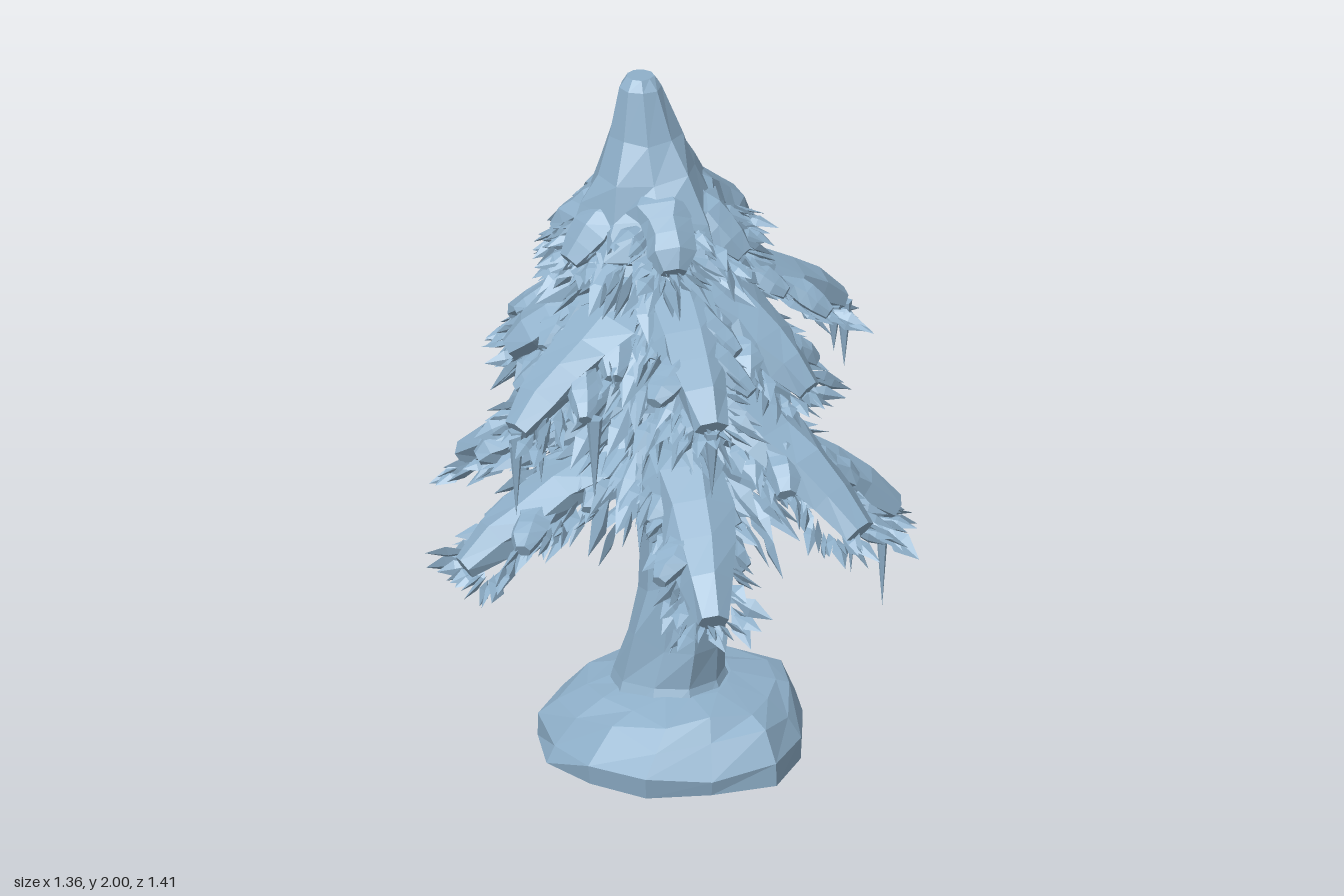
import * as THREE from 'three';
import { mergeGeometries } from 'three/addons/utils/BufferGeometryUtils.js';

const V = (x, y, z) => new THREE.Vector3(x, y, z);
const UP = V(0, 1, 0);

export function createModel() {
  const group = new THREE.Group();
  const frost = new THREE.MeshStandardMaterial({ color: 0x8fb0ca, flatShading: true });
  frost.name = 'frosty blue';

  // small seeded random
  let seed = 12345;
  const rnd = (a = 0, b = 1) => {
    seed = (seed * 1664525 + 1013904223) % 4294967296;
    return a + (b - a) * seed / 4294967296;
  };

  const add = (name, geos) => {
    const mesh = new THREE.Mesh(mergeGeometries(geos), frost);
    mesh.name = name;
    group.add(mesh);
  };

  // closed skin over a list of equal rings
  function loft(rings) {
    const n = rings[0].length, pos = [], idx = [];
    rings.forEach(r => r.forEach(p => pos.push(p.x, p.y, p.z)));
    const centre = r => {
      const c = r.reduce((s, p) => s.add(p), V(0, 0, 0)).divideScalar(n);
      pos.push(c.x, c.y, c.z);
    };
    centre(rings[0]);
    centre(rings[rings.length - 1]);
    const c0 = rings.length * n, last = c0 - n;
    for (let j = 0; j < n; j++) {
      const k = (j + 1) % n;
      for (let i = 0; i < rings.length - 1; i++) {
        const a = i * n + j, b = i * n + k;
        idx.push(a, b, b + n, a, b + n, a + n);
      }
      idx.push(c0, k, j, c0 + 1, last + j, last + k);
    }
    const g = new THREE.BufferGeometry();
    g.setAttribute('position', new THREE.Float32BufferAttribute(pos, 3));
    g.setIndex(idx);
    g.computeVertexNormals();
    return g.toNonIndexed();
  }

  // upright irregular stack; each level is [y, radius, centre x, centre z, height jitter]
  const stack = (levels, n, rough, shape = () => 1) => loft(levels.map(([y, r, cx, cz, bump = 0], i) =>
    Array.from({ length: n }, (_, j) => {
      const a = j / n * Math.PI * 2;
      const q = r * shape(a, i) * (1 + rnd(-rough, rough));
      return V(cx + Math.cos(a) * q, y + rnd(-bump, bump), cz - Math.sin(a) * q);
    })));

  const aim = (g, p, dir) => g
    .applyQuaternion(new THREE.Quaternion().setFromUnitVectors(UP, dir.clone().normalize()))
    .translate(p.x, p.y, p.z);

  // flat diamond-shaped needle
  function needle(p, dir, len, r) {
    const g = new THREE.OctahedronGeometry(1, 0);
    g.deleteAttribute('uv');
    g.scale(r, len / 2, r * 0.35).translate(0, len / 2, 0).rotateY(rnd(0, 3));
    return aim(g, p, dir);
  }

  // drooping snow slab from root to end
  const along = (root, end, t, sag) => {
    const p = root.clone().lerp(end, t);
    p.y += Math.sin(t * Math.PI) * sag;
    return p;
  };
  const WIDTHS = [0.75, 1, 1.25, 1, 1.05, 0.85, 0.5];
  function slab(root, end, w, h, sag) {
    const d = end.clone().sub(root).normalize();
    const side = UP.clone().cross(d).normalize();
    const up = d.clone().cross(side);
    return loft(WIDTHS.map((k, i) => {
      const c = along(root, end, i / (WIDTHS.length - 1), sag);
      const wide = w * k * rnd(0.85, 1.15), high = h * (i === 6 ? 0.6 : rnd(0.8, 1.15));
      return Array.from({ length: 6 }, (_, j) => {
        const a = (j + 0.25) / 6 * Math.PI * 2;
        return c.clone().addScaledVector(side, Math.cos(a) * wide * rnd(0.8, 1.15))
          .addScaledVector(up, Math.sin(a) * high);
      });
    }));
  }

  // snowy bough with side lobes, fringed by needles
  function bough(snow, needles, centre, rootY, tip, w) {
    const end = V(...tip);
    const out = V(end.x - centre.x, 0, end.z - centre.z).normalize();
    const root = V(centre.x, rootY, centre.z).addScaledVector(out, 0.06);
    const side = UP.clone().cross(out);
    const sag = 0.02;
    snow.push(slab(root, end, w, w * 0.58, sag));
    const length = root.distanceTo(end);
    if (length > 0.4) {
      for (const s of [-1, 1]) {
        for (const t of [0.25, 0.52]) {
          const from = along(root, end, t + rnd(-0.06, 0.06), sag);
          const to = from.clone().addScaledVector(out, rnd(0.1, 0.15))
            .addScaledVector(side, s * rnd(0.1, 0.15)).add(V(0, rnd(-0.13, -0.08), 0));
          snow.push(slab(from, to, w * 0.5, w * 0.35, 0.01));
        }
      }
    }
    const count = Math.round(length * 34);
    for (let i = 0; i < count; i++) {
      const t = 0.2 + 0.76 * i / count;
      const c = along(root, end, t, sag);
      for (const s of [-1, 0, 1]) {
        const p = c.clone().addScaledVector(side, s * w * 0.65).add(V(0, -w * rnd(0.25, 0.6), 0));
        const dir = out.clone().multiplyScalar(rnd(0.5, 1))
          .addScaledVector(side, s * rnd(0.4, 1) + rnd(-0.2, 0.2)).add(V(0, rnd(-0.75, -0.2), 0));
        needles.push(needle(p, dir, rnd(0.08, 0.15) * (s ? 1 : 0.8), rnd(0.019, 0.032)));
      }
    }
    for (let i = -2; i <= 2; i++) {
      const dir = out.clone().addScaledVector(side, i * 0.35).add(V(0, rnd(-0.5, -0.15), 0));
      const p = end.clone().addScaledVector(out, -0.05).addScaledVector(side, i * w * 0.2);
      p.y -= 0.02;
      needles.push(needle(p, dir, rnd(0.08, 0.13), 0.024));
    }
  }

  // rocky snow mound
  add('snowMound', [stack([
    [0, 0.375, 0.035, 0], [0.055, 0.375, 0.035, 0, 0.02], [0.135, 0.315, 0.045, 0.015, 0.03],
    [0.178, 0.25, 0.05, 0.03, 0.015], [0.2, 0.15, 0.04, 0]
  ], 13, 0.05, a => 1 + 0.03 * Math.sin(3 * a + 1) + 0.04 * Math.cos(5 * a))]);

  // fluted trunk flaring at the foot
  add('trunk', [stack([
    [0.1, 0.2, 0.03, -0.01], [0.22, 0.16, 0.03, -0.015], [0.35, 0.138, 0.035, 0.01, 0.03],
    [0.5, 0.122, 0.045, 0.025, 0.03], [0.65, 0.115, 0.045, 0.025, 0.02], [0.8, 0.125, 0.04, 0],
    [1.1, 0.09, 0.02, -0.04], [1.5, 0.05, 0, -0.06]
  ], 10, 0.06, a => 1 + 0.06 * Math.cos(4 * a + 0.5))]);

  // tiers of boughs around a leafy core; each tip is [x, y, z, root height]
  const tiers = [
    { name: 'lower', centre: V(0.03, 0, -0.01), w: 0.1, core: [0.69, 1.15, 0.34], loose: 280,
      tips: [[-0.22, 0.71, -0.63, 1.02], [0.31, 0.73, -0.54, 1.08], [0.61, 0.68, -0.31, 1.0],
        [0.57, 0.67, 0.29, 1.0], [0.21, 0.82, 0.62, 1.19], [-0.25, 0.65, 0.56, 1.02],
        [-0.59, 0.65, -0.13, 0.99]] },
    { name: 'middle', centre: V(0.02, 0, -0.04), w: 0.092, core: [0.98, 1.5, 0.3], loose: 280,
      tips: [[-0.53, 1.11, 0.03, 1.42], [-0.18, 1.18, 0.46, 1.47], [0.18, 1.18, 0.42, 1.46],
        [0.54, 1.23, 0.08, 1.47], [0.36, 1.2, -0.32, 1.46], [-0.16, 1.17, -0.48, 1.42],
        [-0.35, 1.2, -0.25, 1.45]] },
    { name: 'upper', centre: V(0, 0, -0.06), w: 0.075, core: [1.36, 1.66, 0.23], loose: 160,
      tips: [[-0.27, 1.51, -0.08, 1.67], [-0.11, 1.53, 0.19, 1.7], [0.13, 1.52, 0.19, 1.68],
        [0.29, 1.52, -0.05, 1.69], [0.26, 1.52, -0.27, 1.66], [0.02, 1.54, -0.32, 1.71],
        [-0.19, 1.52, -0.25, 1.67]] }
  ];
  for (const { name, centre: { x, z }, w, core: [y0, y1, r], loose, tips } of tiers) {
    const snow = [], needles = [];
    tips.forEach(([tx, ty, tz, rootY]) => bough(snow, needles, V(x, 0, z), rootY, [tx, ty, tz], w));
    snow.push(stack([[y0 + 0.08, r * 0.35, x, z], [y0 + 0.11, r * 0.75, x, z, 0.03],
      [(y0 + y1) / 2, r * 0.65, x, z, 0.03], [y1, r * 0.3, x, z]], 13, 0.15));
    // loose needles hanging between the boughs
    for (let i = 0; i < loose; i++) {
      const a = i * 2.39996, t = rnd();
      const q = r * (1 - 0.6 * t) * rnd(0.65, 1.05);
      const p = V(x + Math.cos(a) * q, y0 + 0.08 + (y1 - y0 - 0.12) * t, z + Math.sin(a) * q);
      const dir = V(Math.cos(a) + rnd(-0.4, 0.4), rnd(-1, -0.35), Math.sin(a) + rnd(-0.4, 0.4));
      needles.push(needle(p, dir, rnd(0.12, 0.2), rnd(0.024, 0.038)));
    }
    add(name + 'SnowyBoughs', snow);
    add(name + 'Needles', needles);
  }

  // blunt snow cap at the top
  add('snowCap', [stack([
    [1.5, 0.17, 0, -0.06], [1.55, 0.23, 0, -0.06, 0.02], [1.63, 0.2, 0, -0.06, 0.02],
    [1.73, 0.148, -0.005, -0.07, 0.02], [1.83, 0.102, -0.01, -0.085, 0.01],
    [1.97, 0.06, -0.018, -0.09], [2, 0.038, -0.02, -0.09]
  ], 9, 0.07, (a, i) => i < 4 ? 1 + 0.1 * Math.cos(5 * a) : 1)]);

  // hanging icicles: x, top y, z, length
  add('icicles', [
    [0.54, 0.68, 0.27, 0.31], [0.47, 0.7, 0.22, 0.23], [-0.16, 0.72, -0.45, 0.27],
    [-0.53, 1.11, 0.03, 0.26], [-0.46, 1.14, 0.05, 0.2], [0.55, 1.22, 0.08, 0.2],
    [0.5, 1.23, 0.1, 0.14], [-0.18, 1.17, 0.46, 0.2], [-0.3, 1.1, 0.08, 0.25],
    [0.27, 1.53, -0.28, 0.18], [0.29, 1.53, -0.05, 0.12]
  ].map(([x, y, z, len]) => {
    const g = new THREE.ConeGeometry(0.024, len, 5, 1).toNonIndexed();
    return aim(g.translate(0, len / 2, 0), V(x, y, z), V(0.001, -1, 0));
  }));

  return group;
}
